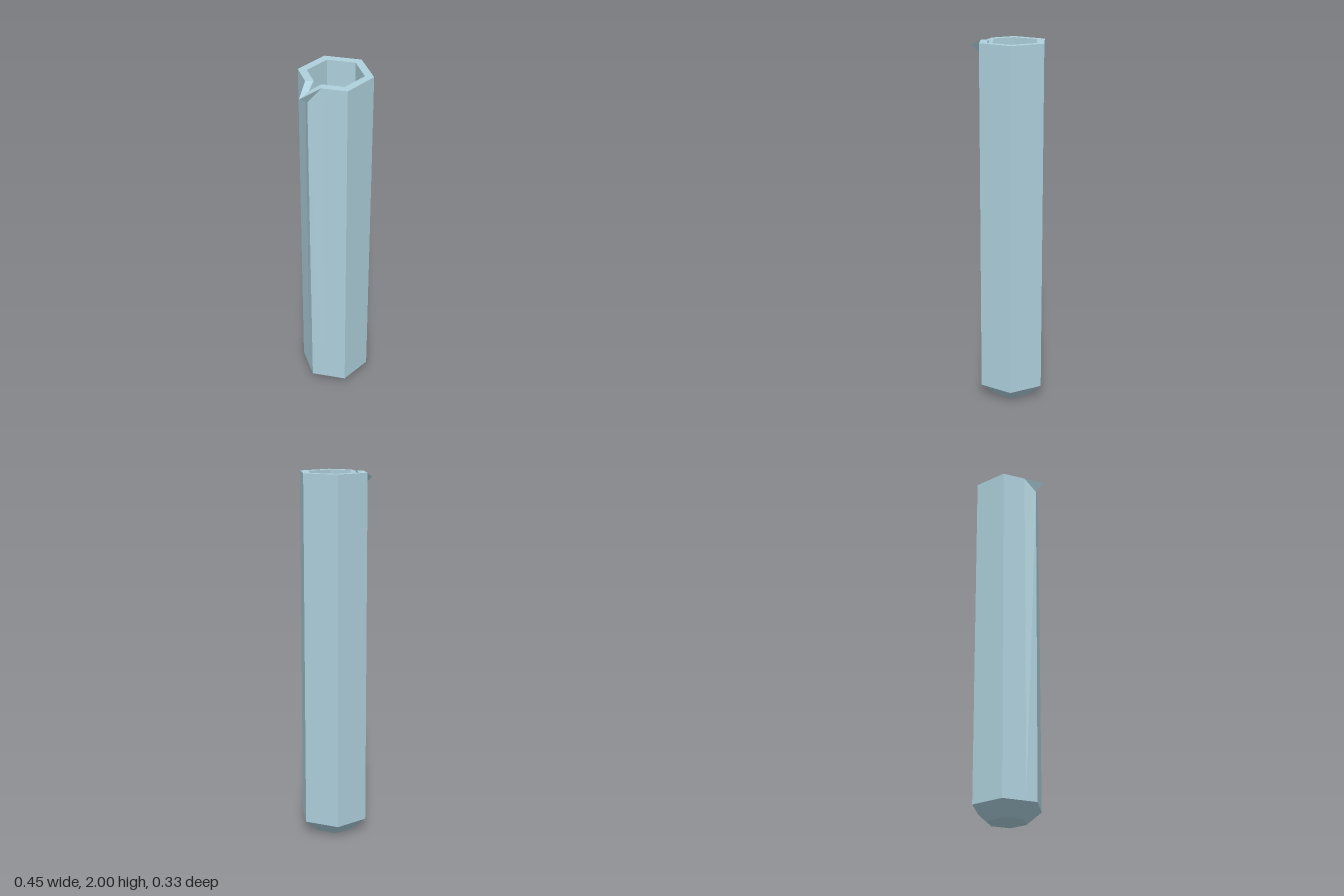
import * as THREE from 'three';

const CX = 0.034; // tube axis, offset because of the spout

// Eight-point ring: a hexagon whose -x corner is split into two shoulders and a tip.
// t places the shoulders along the two edges that lead to the tip.
function ring(r, y, t, tipX = CX - r, tipY = y) {
  const corner = (deg) => {
    const a = THREE.MathUtils.degToRad(deg);
    return new THREE.Vector3(CX + r * Math.cos(a), y, r * Math.sin(a));
  };
  const left = corner(180);
  return [
    corner(0), corner(60), corner(120),
    corner(120).lerp(left, t),
    new THREE.Vector3(tipX, tipY, 0),
    corner(240).lerp(left, t),
    corner(240), corner(300),
  ];
}

// Skin consecutive rings with flat faces, leaving out zero-area triangles.
function loft(rings) {
  const positions = [];
  const tri = (a, b, c) => {
    const area = b.clone().sub(a).cross(c.clone().sub(a)).length();
    if (area > 1e-7) for (const p of [a, b, c]) positions.push(p.x, p.y, p.z);
  };
  for (let i = 0; i < rings.length - 1; i++) {
    for (let k = 0; k < 8; k++) {
      const n = (k + 1) % 8;
      const a = rings[i][k], b = rings[i][n], c = rings[i + 1][n], d = rings[i + 1][k];
      if (k < 4) { // mirrored diagonals keep both sides of the spout alike
        tri(a, d, c);
        tri(a, c, b);
      } else {
        tri(a, d, b);
        tri(d, c, b);
      }
    }
  }
  const geometry = new THREE.BufferGeometry();
  geometry.setAttribute('position', new THREE.Float32BufferAttribute(positions, 3));
  geometry.computeVertexNormals();
  return geometry;
}

export function createModel() {
  const group = new THREE.Group();
  group.name = 'spoutedTube';

  const glass = new THREE.MeshStandardMaterial({ color: 0xaed0dc, flatShading: true });
  glass.name = 'pale blue glass';
  const grey = new THREE.MeshStandardMaterial({ color: 0xd9d9d9, flatShading: true });
  grey.name = 'light grey';

  const add = (name, geometry, material) => {
    const mesh = new THREE.Mesh(geometry, material);
    mesh.name = name;
    group.add(mesh);
    return mesh;
  };

  const R = 0.193, r = 0.147, base = 0.107, shoulder = 0.075;
  const outer = 0.68, inner = 0.8; // shoulder positions of the spout

  // Bevelled foot and outer wall, ending below the spout
  const outerTop = ring(R, 2, outer, -0.17, 1.92);
  add('outerWall', loft([ring(base, 0, outer), ring(R, shoulder, outer), outerTop]), glass);

  // Spout underside, rim and pouring groove
  const lip = ring(R, 2, outer, -0.227, 1.96);
  const rimInner = ring(r, 2, inner, -0.16, 1.977);
  const innerTop = ring(r, 2, inner, CX - r, 1.92);
  add('rimAndSpout', loft([outerTop, lip, rimInner, innerTop]), glass);

  // Inner wall down to the floor
  add('innerWall', loft([innerTop, ring(r, shoulder, inner)]), glass);

  // Closed hexagonal ends
  const floor = add('innerFloor', new THREE.CircleGeometry(r, 6), grey);
  floor.rotation.x = -Math.PI / 2;
  floor.position.set(CX, shoulder, 0);

  const bottom = add('bottom', new THREE.CircleGeometry(base, 6), glass);
  bottom.rotation.x = Math.PI / 2;
  bottom.position.set(CX, 0, 0);

  return group;
}
